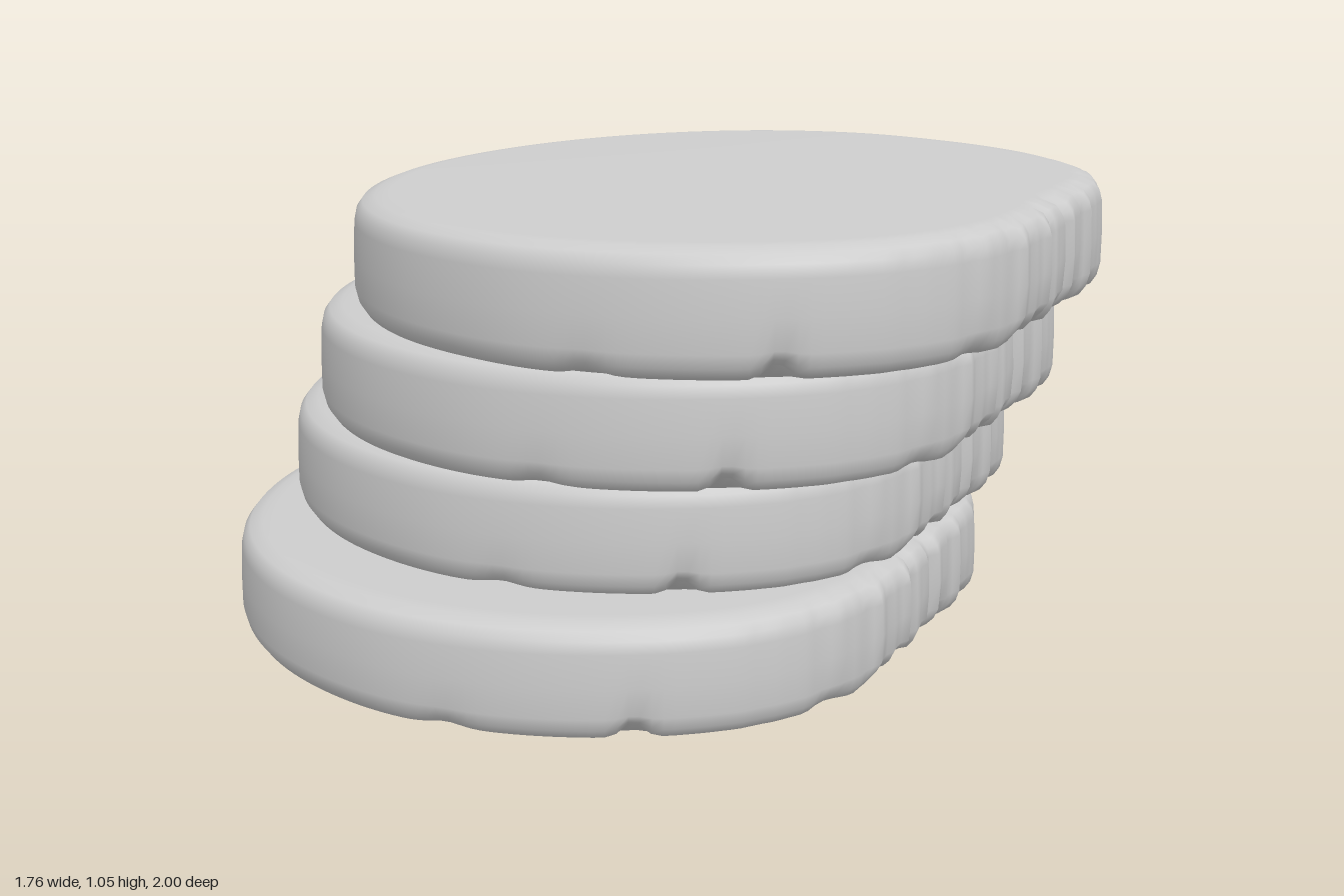
import * as THREE from 'three';

const STEPS = 240;

// Shared outline (x, z) about the disc centre: a round disc with a worn front-left corner
const outline = new THREE.CatmullRomCurve3([
  [0.765, 0], [0.755, 0.14], [0.69, 0.29], [0.59, 0.4], [0.49, 0.5], [0.39, 0.61],
  [0.28, 0.7], [0.14, 0.765], [-0.01, 0.788], [-0.21, 0.755], [-0.41, 0.665], [-0.59, 0.51],
  [-0.72, 0.28], [-0.765, 0.04], [-0.735, -0.18], [-0.62, -0.42], [-0.42, -0.62],
  [-0.17, -0.75], [0.09, -0.79], [0.34, -0.735], [0.55, -0.58], [0.69, -0.34], [0.75, -0.15],
].map(([x, z]) => new THREE.Vector3(x, 0, z)), true, 'centripetal');

// Rim profile from bottom to top: inset from the outline, height
const HEIGHT = 0.23;
const profile = [
  [0.07, 0], [0.045, 0.002], [0.018, 0.012], [0.006, 0.03], [0, 0.055], [0, 0.115],
  [0.003, 0.18], [0.008, 0.203], [0.02, 0.219], [0.045, 0.228], [0.07, HEIGHT],
];

// Chips in the lower rim: angle in degrees, width, depth
const chips = [
  [103, 1.8, 0.026], [75, 2.5, 0.01], [64, 2.2, 0.022], [57, 3.5, 0.026],
  [47, 3, 0.02], [39, 2.2, 0.03], [28, 3, 0.012], [128, 3, 0.008],
];

const bump = (d, w) => Math.exp(-(d * d) / (w * w));

// Wear at an angle: rim chips and shallow upright flutes on the worn corner
function wearAt(angle) {
  const chip = chips.reduce((sum, [a, w, depth]) => sum + depth * bump(angle - a, w), 0);
  const flute = 0.005 * bump(angle - 48, 28) * (Math.sin(angle * 0.75) + Math.sin(angle * 1.31 + 1));
  return { chip, flute };
}

function discGeometry(sx, sz, slopeX, slopeZ) {
  const pos = [], index = [];
  const put = (x, y, z) => pos.push(x, y + slopeX * x + slopeZ * z, z);
  const edge = [];
  for (let i = 0; i < STEPS; i++) edge.push(outline.getPointAt(i / STEPS));

  // Rim rings
  for (const [inset, h] of profile) {
    for (const p of edge) {
      const { chip, flute } = wearAt(THREE.MathUtils.radToDeg(Math.atan2(p.z, p.x)));
      const low = Math.max(0, 1 - h / 0.07) * (inset < 0.06 ? 1 : 0);
      const high = inset < 0.06 && h > 0.2 ? 1 : 0;
      const k = 1 - (inset + 0.8 * chip * low + (inset < 0.06 ? flute : 0)) / p.length();
      put(p.x * k * sx, h + chip * low - Math.abs(flute) * high, p.z * k * sz);
    }
  }
  for (let j = 0; j < profile.length - 1; j++) {
    for (let i = 0; i < STEPS; i++) {
      const n = (i + 1) % STEPS;
      const a = j * STEPS + i, b = a + STEPS, c = j * STEPS + n, d = c + STEPS;
      index.push(a, b, c, c, b, d);
    }
  }

  // Flat faces fanned from their centres
  const bottom = pos.length / 3;
  put(0, 0, 0);
  put(0, HEIGHT, 0);
  const last = (profile.length - 1) * STEPS;
  for (let i = 0; i < STEPS; i++) {
    const n = (i + 1) % STEPS;
    index.push(bottom, i, n, bottom + 1, last + n, last + i);
  }

  const geometry = new THREE.BufferGeometry();
  geometry.setAttribute('position', new THREE.Float32BufferAttribute(pos, 3));
  geometry.setIndex(index);
  geometry.computeVertexNormals();
  return geometry;
}

export function createModel() {
  const group = new THREE.Group();
  group.name = 'discStack';
  const material = new THREE.MeshStandardMaterial({ color: 0xcccccc });

  // Four tilted discs, each shifted further forward: centre, size factors, slopes
  const discs = [
    { name: 'bottomDisc', at: [-0.043, 0.037, -0.14], size: [1.094, 1.089], slope: [0.022, -0.035] },
    { name: 'lowerMiddleDisc', at: [0.047, 0.306, -0.107], size: [1.042, 1.022], slope: [0.022, -0.042] },
    { name: 'upperMiddleDisc', at: [0.08, 0.54, 0.05], size: [1.032, 1.007], slope: [0.026, -0.042] },
    { name: 'topDisc', at: [0.11, 0.777, 0.208], size: [1, 1], slope: [0.034, -0.05] },
  ];
  for (const { name, at, size, slope } of discs) {
    const mesh = new THREE.Mesh(discGeometry(...size, ...slope), material);
    mesh.name = name;
    mesh.position.set(...at);
    group.add(mesh);
  }
  return group;
}
